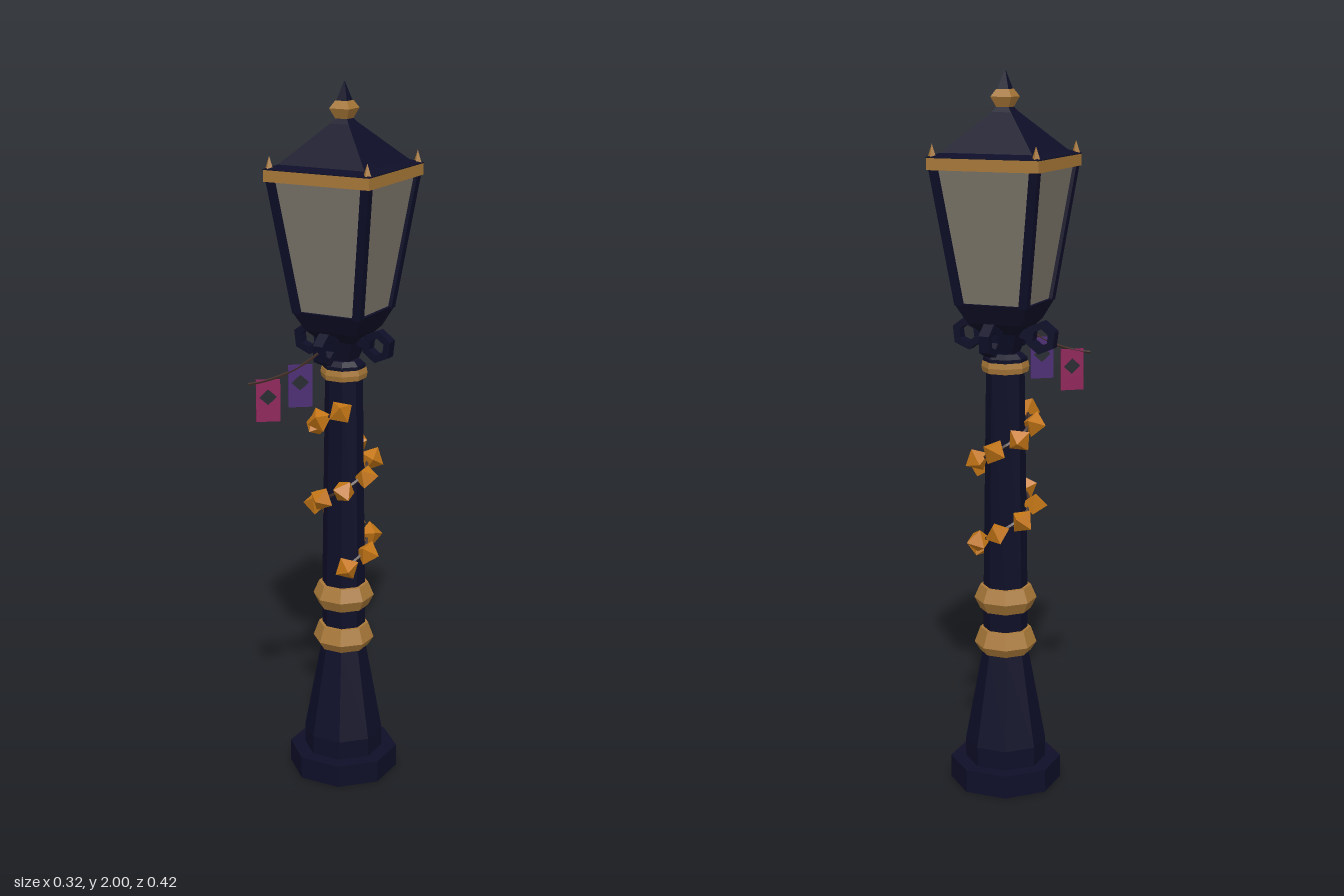
import * as THREE from 'three';

const mat = (name, color, extra = {}) => {
  const m = new THREE.MeshStandardMaterial({ color, flatShading: true, ...extra });
  m.name = name;
  return m;
};

export function createModel() {
  const iron = mat('dark iron', 0x0e0e28);
  const gold = mat('gold trim', 0xa87838);
  const glass = mat('frosted glass', 0x7b7569);
  const orange = mat('orange blossom', 0xc47616);
  const pink = mat('pink cloth', 0x8e2459, { side: THREE.DoubleSide });
  const purple = mat('purple cloth', 0x4c2c74, { side: THREE.DoubleSide });
  const cordMat = mat('brown cord', 0x3e2a24);

  const model = new THREE.Group();
  const lamp = new THREE.Group();
  lamp.name = 'lampPost';
  lamp.position.z = -0.052;
  model.add(lamp);

  const add = (parent, name, geo, material) => {
    const mesh = new THREE.Mesh(geo, material);
    mesh.name = name;
    parent.add(mesh);
    return mesh;
  };

  // Stack of flat-sided sections; each profile point is [half width, height]
  const prism = (name, sides, profile, material) => {
    const k = 1 / Math.cos(Math.PI / sides);
    const pts = profile.map(([r, y]) => new THREE.Vector2(r * k, y));
    pts.unshift(new THREE.Vector2(0, profile[0][1]));
    pts.push(new THREE.Vector2(0, profile[profile.length - 1][1]));
    const geo = new THREE.LatheGeometry(pts, sides, Math.PI / sides);
    return add(lamp, name, geo, material);
  };

  // Octagonal pedestal and column
  prism('basePlinth', 8, [[0.145, 0], [0.145, 0.065]], iron);
  prism('pedestal', 8, [[0.105, 0.065], [0.105, 0.12], [0.06, 0.385]], iron);
  prism('column', 8, [[0.058, 0.38], [0.057, 0.58], [0.049, 1.19]], iron);
  prism('lowerCollar', 8, [[0.066, 0.385], [0.081, 0.41], [0.066, 0.455]], gold);
  prism('upperCollar', 8, [[0.066, 0.51], [0.081, 0.542], [0.066, 0.58]], gold);
  prism('neckRing', 8, [[0.058, 1.19], [0.061, 1.205], [0.058, 1.22]], gold);
  prism('neckCap', 8, [[0.056, 1.22], [0.056, 1.23], [0.042, 1.243]], iron);

  // Square lantern
  prism('lanternCup', 4, [[0.03, 1.24], [0.05, 1.3], [0.078, 1.33], [0.105, 1.385]], iron);
  prism('glassPanes', 4, [[0.094, 1.38], [0.145, 1.75]], glass);
  prism('goldCornice', 4, [[0.159, 1.743], [0.159, 1.775]], gold);
  prism('roofEave', 4, [[0.16, 1.7745], [0.16, 1.777], [0.13, 1.787]], iron);
  prism('roof', 4, [[0.134, 1.783], [0.028, 1.89], [0.016, 1.905]], iron);
  prism('finialKnob', 4, [[0.018, 1.903], [0.03, 1.93], [0.018, 1.95]], gold);
  prism('finialSpike', 4, [[0.016, 1.95], [0.001, 2]], iron);

  // Slanting corner bars and corner spikes
  for (const sx of [-1, 1]) for (const sz of [-1, 1]) {
    const geo = new THREE.BoxGeometry(0.024, 0.37, 0.024);
    const p = geo.attributes.position;
    for (let i = 0; i < p.count; i++) {
      const lean = 0.118 + p.getY(i) * 0.137;
      p.setXYZ(i, p.getX(i) + sx * lean, p.getY(i) + 1.565, p.getZ(i) + sz * lean);
    }
    geo.computeVertexNormals();
    add(lamp, 'cornerBar', geo, iron);
    const spike = add(lamp, 'cornerSpike', new THREE.ConeGeometry(0.012, 0.035, 4), gold);
    spike.position.set(sx * 0.147, 1.794, sz * 0.147);
  }

  // Four scroll brackets, each a hollow ring on a short arm
  const ring = (ShapeType, r, n) => new ShapeType(Array.from({ length: n }, (_, i) => {
    const a = (i / n) * Math.PI * 2 + 0.4;
    return new THREE.Vector2(Math.cos(a) * r, Math.sin(a) * r);
  }));
  const scroll = ring(THREE.Shape, 0.046, 6);
  scroll.holes.push(ring(THREE.Path, 0.024, 6));
  for (let i = 0; i < 4; i++) {
    const bracket = new THREE.Group();
    bracket.name = 'bracket';
    bracket.rotation.y = i * Math.PI / 2;
    lamp.add(bracket);
    const geo = new THREE.ExtrudeGeometry(scroll, { depth: 0.03, bevelEnabled: false });
    geo.translate(0.108, 1.291, -0.015);
    add(bracket, 'scrollRing', geo, iron);
    const arm = add(bracket, 'bracketArm', new THREE.BoxGeometry(0.055, 0.026, 0.03), iron);
    arm.position.set(0.053, 1.3, 0);
    arm.rotation.z = -0.3;
  }

  // Blossom garland winding around the column
  const helix = (i, r) => {
    const a = THREE.MathUtils.degToRad(35 + 50.5 * i);
    return new THREE.Vector3(Math.sin(a) * r, 0.65 + 0.0329 * i, Math.cos(a) * r);
  };
  const vinePts = Array.from({ length: 57 }, (_, i) => helix(i / 4, 0.066));
  add(lamp, 'vine', new THREE.TubeGeometry(new THREE.CatmullRomCurve3(vinePts), 112, 0.005, 4), cordMat);
  for (let i = 0; i < 15; i++) {
    const blossom = add(lamp, 'blossom', new THREE.OctahedronGeometry(0.037), orange);
    blossom.position.copy(helix(i, 0.081));
    blossom.rotation.set(i * 1.3, i * 0.88 + 0.6, i * 0.7 + 0.5);
  }

  // Sagging cord with two pennants
  const cord = new THREE.QuadraticBezierCurve3(
    new THREE.Vector3(0, 1.29, 0.095),
    new THREE.Vector3(-0.06, 1.225, 0.14),
    new THREE.Vector3(-0.153, 1.21, 0.208));
  add(model, 'pennantCord', new THREE.TubeGeometry(cord, 10, 0.004, 5), cordMat);
  const cloth = new THREE.Shape();
  cloth.moveTo(-0.033, -0.118).lineTo(0.033, -0.118).lineTo(0.033, 0).lineTo(-0.033, 0);
  const diamond = new THREE.Path();
  diamond.moveTo(0, -0.027).lineTo(-0.025, -0.05).lineTo(0, -0.073).lineTo(0.025, -0.05);
  cloth.holes.push(diamond);
  for (const [name, x, y, z, m] of [
    ['pinkPennant', -0.11, 1.222, 0.176, pink],
    ['purplePennant', -0.039, 1.26, 0.124, purple],
  ]) {
    const geo = new THREE.ExtrudeGeometry(cloth, { depth: 0.006, bevelEnabled: false });
    geo.translate(0, 0, -0.003);
    const flag = add(model, name, geo, m);
    flag.position.set(x, y, z);
    flag.rotation.y = Math.atan2(0.1, 0.135);
  }
  return model;
}
